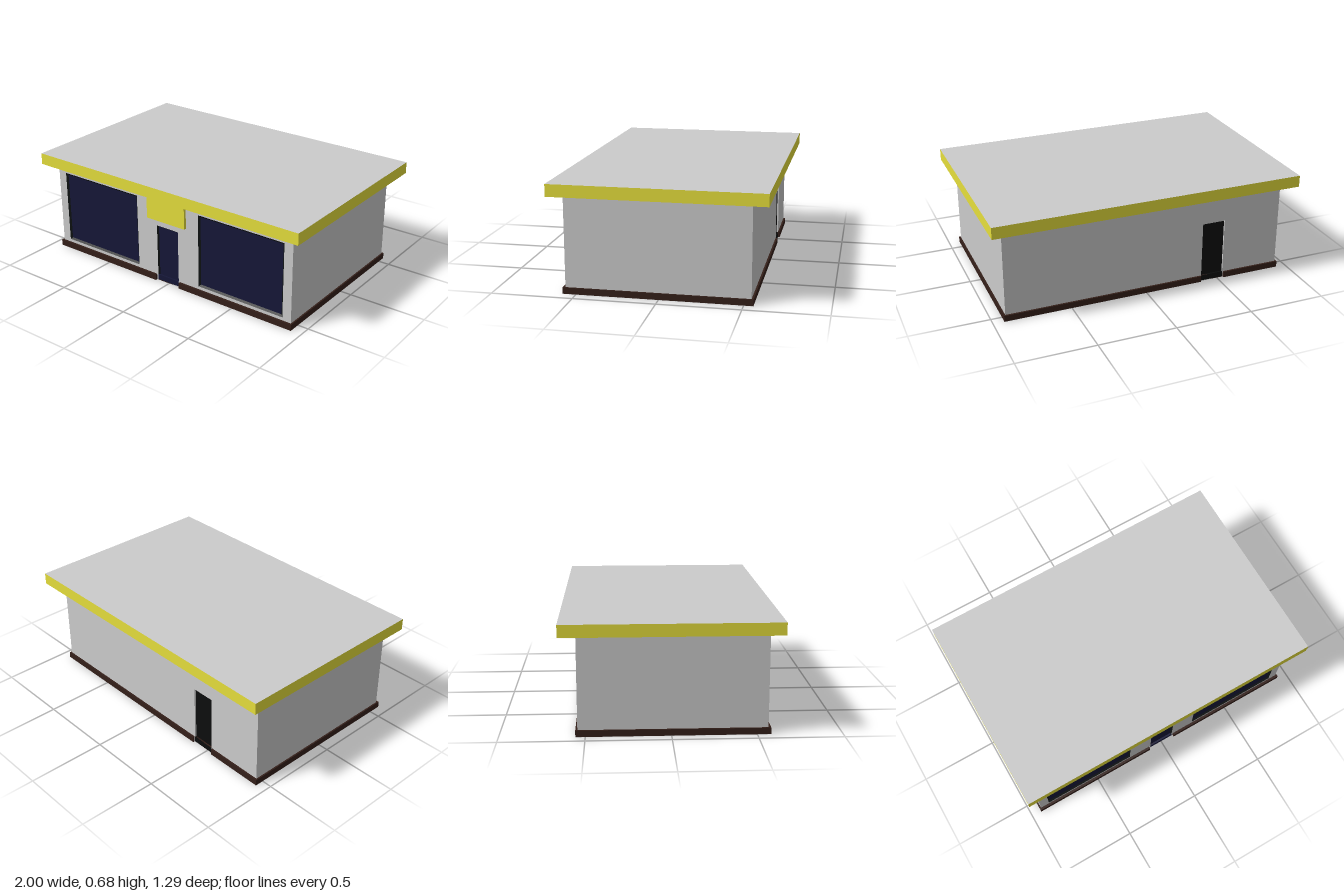
import * as THREE from 'three';

const mat = (color, side = THREE.FrontSide) =>
  new THREE.MeshStandardMaterial({ color, side, flatShading: true });

const WALL = { x0: -0.925, x1: 0.92, back: -0.545, front: 0.565 };
const RECESS = 0.012;

export function createModel() {
  const model = new THREE.Group();
  const grey = mat(0xcccccc);
  const yellow = mat(0xe6df3c);
  const brown = mat(0x341f19);
  const glass = mat(0x151738);
  const black = mat(0x0c0d0d);
  const frameMat = mat(0x121616, THREE.DoubleSide);

  const add = (name, geometry, material) => {
    const mesh = new THREE.Mesh(geometry, material);
    mesh.name = name;
    model.add(mesh);
    return mesh;
  };

  // Box given by its limits on each axis
  const box = (name, [x0, x1], [y0, y1], [z0, z1], material) =>
    add(name, new THREE.BoxGeometry(x1 - x0, y1 - y0, z1 - z0), material)
      .position.set((x0 + x1) / 2, (y0 + y1) / 2, (z0 + z1) / 2);

  const rect = (Type, { x0, x1, y0, y1 }) =>
    new Type([[x0, y0], [x1, y0], [x1, y1], [x0, y1]].map(p => new THREE.Vector2(...p)));

  // Splayed frame joining the wall opening to the smaller recessed pane
  const splayedFrame = (name, { x0, x1, y0, y1 }, inset, zOut, zIn) => {
    const ring = (d, z) => [
      [x0 + d, y0 + d, z], [x1 - d, y0 + d, z], [x1 - d, y1 - d, z], [x0 + d, y1 - d, z]];
    const outer = ring(0, zOut), inner = ring(inset, zIn), points = [];
    for (let i = 0; i < 4; i++) {
      const j = (i + 1) % 4;
      points.push(outer[i], outer[j], inner[j], outer[i], inner[j], inner[i]);
    }
    const geometry = new THREE.BufferGeometry();
    geometry.setAttribute('position', new THREE.Float32BufferAttribute(points.flat(), 3));
    geometry.computeVertexNormals();
    add(name, geometry, frameMat);
  };

  // Wall skin with openings cut through it
  const facade = (name, z, openings) => {
    const shape = rect(THREE.Shape, { x0: WALL.x0, x1: WALL.x1, y0: 0.001, y1: 0.61 });
    openings.forEach(o => shape.holes.push(rect(THREE.Path, o)));
    const geometry = new THREE.ExtrudeGeometry(shape, { depth: RECESS, bevelEnabled: false });
    add(name, geometry.translate(0, 0, z), grey);
  };

  const frontOpenings = {
    rightWindow: { x0: -0.865, x1: -0.245, y0: 0.06, y1: 0.547 },
    leftWindow: { x0: 0.24, x1: 0.86, y0: 0.06, y1: 0.547 },
    frontDoor: { x0: -0.086, x1: 0.081, y0: 0.006, y1: 0.386 },
  };
  const backDoor = { x0: -0.537, x1: -0.385, y0: 0.004, y1: 0.405 };

  // Walls
  const coreFront = WALL.front - RECESS, coreBack = WALL.back + RECESS;
  box('wallCore', [WALL.x0, WALL.x1], [0.001, 0.61], [coreBack, coreFront], grey);
  facade('frontWall', coreFront, Object.values(frontOpenings));
  facade('backWall', WALL.back, [backDoor]);

  // Glazing and doors
  for (const [name, o] of Object.entries(frontOpenings)) {
    const inset = name === 'frontDoor' ? 0.008 : 0.012;
    splayedFrame(name + 'Frame', o, inset, WALL.front, coreFront + 0.002);
    box(name + 'Pane', [o.x0 + inset, o.x1 - inset], [o.y0 + inset, o.y1 - inset],
      [coreFront - 0.002, coreFront + 0.002], glass);
  }
  box('backDoor', [backDoor.x0, backDoor.x1], [backDoor.y0, backDoor.y1],
    [coreBack - 0.002, coreBack + 0.002], black);

  // Plinth outline, interrupted at both doors (shape y is -z)
  const px0 = -0.935, px1 = 0.93, pf = -0.58, pb = 0.557;
  const outline = new THREE.Shape([
    [px0, pf], [-0.096, pf], [-0.096, -WALL.front], [0.091, -WALL.front], [0.091, pf],
    [px1, pf], [px1, pb], [-0.38, pb], [-0.38, -WALL.back], [-0.542, -WALL.back],
    [-0.542, pb], [px0, pb],
  ].map(p => new THREE.Vector2(...p)));
  const ringHole = rect(THREE.Path, { x0: WALL.x0 + 0.02, x1: WALL.x1 - 0.02,
    y0: -WALL.front + 0.02, y1: -WALL.back - 0.02 });
  const floor = new THREE.ExtrudeGeometry(outline, { depth: 0.001, bevelEnabled: false });
  add('floor', floor.rotateX(-Math.PI / 2), grey);
  const ring = outline.clone();
  ring.holes.push(ringHole);
  const plinth = new THREE.ExtrudeGeometry(ring, { depth: 0.039, bevelEnabled: false });
  // Keep the plinth just inside the wall faces where it is cut away for the doors
  add('plinth', plinth.rotateX(-Math.PI / 2).translate(0, 0.001, 0), brown);
  for (const [x0, x1, z0, z1] of [
    [-0.096, 0.091, coreFront + 0.002, WALL.front + 0.0008],
    [-0.542, -0.38, WALL.back - 0.0008, coreBack - 0.002]]) {
    const o = z0 > 0 ? frontOpenings.frontDoor : backDoor;
    box('doorJamb', [x0, o.x0], [0.001, 0.04], [z0, z1], grey);
    box('doorJamb', [o.x1, x1], [0.001, 0.04], [z0, z1], grey);
    // Door leaf in front of the plinth line
    box('doorFoot', [o.x0, o.x1], [o.y0, 0.04], [z0, z1], z0 > 0 ? glass : black);
  }

  // Flat roof: coloured fascia and soffit, plain top
  box('roof', [-1, 1], [0.605, 0.68], [-0.645, 0.645],
    [yellow, yellow, grey, yellow, yellow, yellow]);

  // Blank sign board over the entrance
  box('signBoard', [-0.15, 0.146], [0.43, 0.572], [WALL.front - 0.002, 0.583], yellow);

  return model;
}
